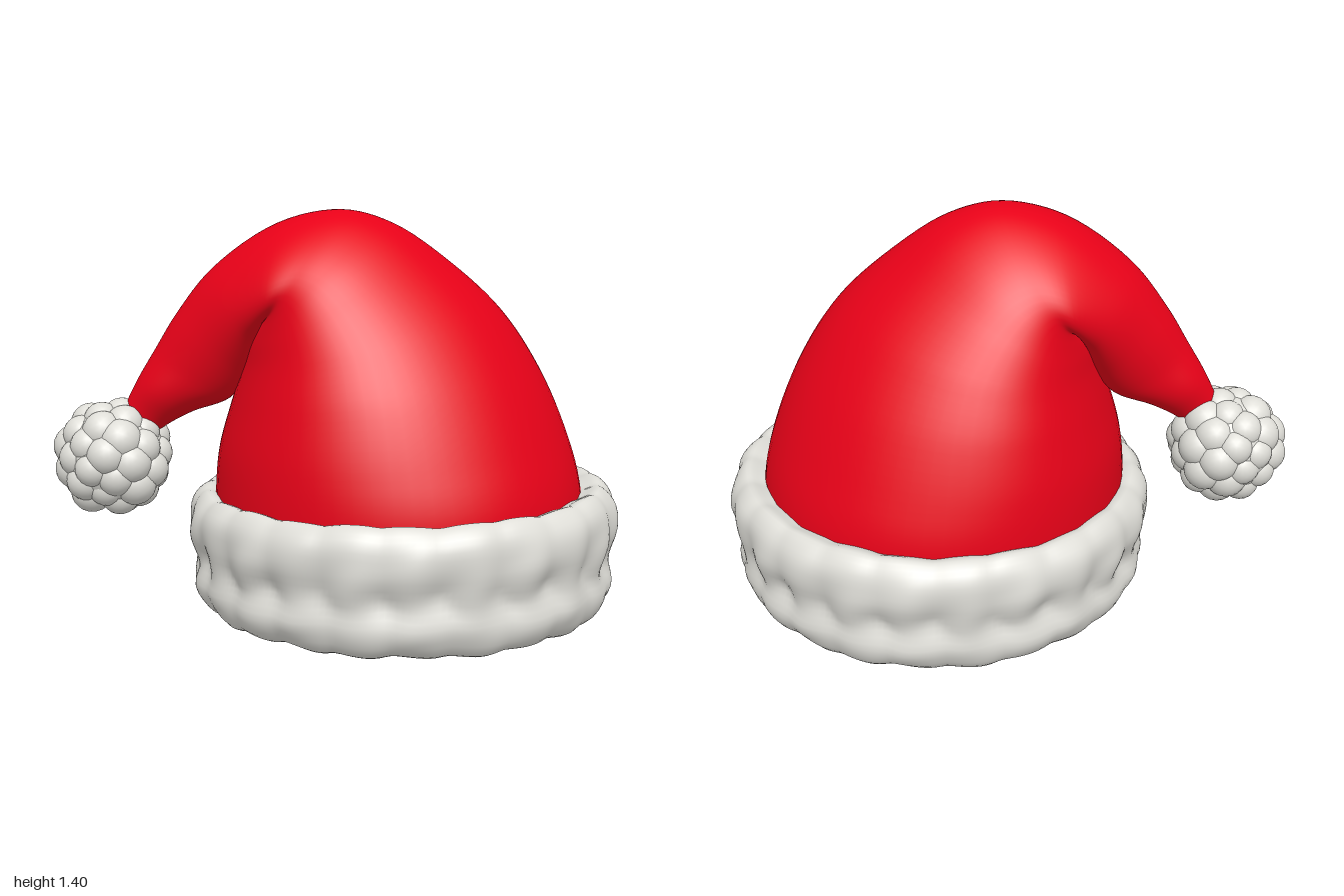
import * as THREE from 'three';
import { mergeGeometries } from 'three/addons/utils/BufferGeometryUtils.js';

const red = new THREE.MeshStandardMaterial({ color: 0xea0118 });
red.name = 'redFelt';
const white = new THREE.MeshStandardMaterial({ color: 0xdfded8 });
white.name = 'whiteFleece';

const CENTRE_X = 0.237;

// Smooth skin over rows of rings; point(i, j) returns [x, y, z], columns wrap around
function skin(rows, cols, point, wrapRows = false) {
  const pos = [], index = [];
  for (let i = 0; i < rows; i++) for (let j = 0; j < cols; j++) pos.push(...point(i, j));
  const last = wrapRows ? rows : rows - 1;
  for (let i = 0; i < last; i++) {
    for (let j = 0; j < cols; j++) {
      const n = (i + 1) % rows, k = (j + 1) % cols;
      const a = i * cols + j, b = n * cols + j, c = n * cols + k, d = i * cols + k;
      index.push(a, b, d, b, c, d);
    }
  }
  const g = new THREE.BufferGeometry();
  g.setAttribute('position', new THREE.Float32BufferAttribute(pos, 3));
  g.setIndex(index);
  g.computeVertexNormals();
  return g;
}

// Felt cone that folds over to the right side and hangs down
function bodyGeometry() {
  // each section: inner x, y, outer x, y, half width in z
  const sections = [
    [-0.43, 0.17, 0.885, 0.17, 0.66], [-0.43, 0.44, 0.872, 0.44, 0.655],
    [-0.415, 0.58, 0.825, 0.62, 0.62], [-0.37, 0.74, 0.725, 0.85, 0.555],
    [-0.33, 0.87, 0.585, 1.06, 0.475], [-0.31, 0.95, 0.40, 1.23, 0.405],
    [-0.29, 0.99, 0.20, 1.363, 0.35], [-0.275, 1.0, 0.02, 1.41, 0.315],
    [-0.27, 0.98, -0.20, 1.365, 0.295], [-0.28, 0.93, -0.43, 1.21, 0.245],
    [-0.31, 0.84, -0.56, 1.05, 0.19], [-0.375, 0.75, -0.64, 0.92, 0.145],
    [-0.51, 0.70, -0.70, 0.82, 0.11], [-0.62, 0.64, -0.745, 0.73, 0.065],
    [-0.70, 0.57, -0.78, 0.64, 0.05],
  ];
  const inner = new THREE.CatmullRomCurve3(sections.map(s => new THREE.Vector3(s[0], s[1], 0)));
  const outer = new THREE.CatmullRomCurve3(sections.map(s => new THREE.Vector3(s[2], s[3], s[4])));
  const rows = 85, cols = 64;
  return skin(rows, cols, (i, j) => {
    const u = i / (rows - 1), p = inner.getPoint(u), q = outer.getPoint(u);
    const a = (j / cols) * Math.PI * 2, t = (1 + Math.cos(a)) / 2;
    // pinched towards the ridge of the crown, fuller towards the fold
    const pinch = 1 - 0.34 * Math.sin(Math.PI * u) ** 2 * Math.cos(a);
    return [p.x + (q.x - p.x) * t, p.y + (q.y - p.y) * t, q.z * Math.sin(a) * pinch];
  });
}

// Fleece band: a two-lobed profile swept round, puffed into staggered lumps
function brimGeometry() {
  const profile = new THREE.CatmullRomCurve3([
    [0.56, 0.07], [0.63, 0.02], [0.70, 0.03], [0.745, 0.11], [0.73, 0.20], [0.756, 0.30],
    [0.748, 0.39], [0.70, 0.44], [0.65, 0.425], [0.60, 0.40], [0.545, 0.33], [0.53, 0.20],
  ].map(([r, y]) => new THREE.Vector3(r, y, 0)), true);
  const rows = 48, cols = 240;
  return skin(rows, cols, (i, j) => {
    const p = profile.getPoint(1 - i / rows), a = (j / cols) * Math.PI * 2;
    const dr = p.x - 0.64, dy = p.y - 0.23, len = Math.hypot(dr, dy);
    const stagger = 0.6 * THREE.MathUtils.smoothstep(p.y, 0.17, 0.23);
    const lump = Math.sqrt(0.1 + 0.9 * Math.cos(12 * a + stagger) ** 2);
    const uneven = Math.sin(7 * a + 9 * p.y) * Math.sin(17 * a - 23 * p.y + 1);
    // the inside is flatter than the outside
    const strength = THREE.MathUtils.mapLinear(THREE.MathUtils.smoothstep(p.x, 0.54, 0.68), 0, 1, 0.3, 1);
    const push = strength * (0.024 * (lump - 0.65) + 0.008 * uneven);
    const r = p.x + push * dr / len;
    return [
      CENTRE_X + r * Math.cos(a),
      p.y + push * 0.8 * dy / len + 0.012 * Math.cos(a) * (p.y / 0.4),
      -r * Math.sin(a),
    ];
  }, true);
}

// Pompom: a core covered in evenly spread tufts
function pompomGeometry() {
  const parts = [new THREE.IcosahedronGeometry(0.186, 5)];
  const count = 48;
  for (let i = 0; i < count; i++) {
    const y = 1 - (2 * (i + 0.5)) / count, r = Math.sqrt(1 - y * y), a = i * 2.39996;
    const tuft = new THREE.IcosahedronGeometry(0.07 + 0.006 * Math.sin(i * 5.3), 3);
    const d = 0.142 + 0.004 * Math.sin(i * 3.1);
    tuft.translate(r * Math.cos(a) * d, y * d, r * Math.sin(a) * d);
    parts.push(tuft);
  }
  return mergeGeometries(parts);
}

export function createModel() {
  const hat = new THREE.Group();
  hat.name = 'winterHat';
  const add = (name, geometry, material) => {
    const mesh = new THREE.Mesh(geometry, material);
    mesh.name = name;
    hat.add(mesh);
    return mesh;
  };

  add('feltCone', bodyGeometry(), red);
  add('fleeceBrim', brimGeometry(), white);
  add('pompom', pompomGeometry(), white).position.set(-0.79, 0.54, 0);

  // Underside closing the cone inside the brim
  const lining = add('lining', new THREE.CircleGeometry(0.62, 64), red);
  lining.rotation.x = Math.PI / 2;
  lining.position.set(CENTRE_X, 0.17, 0);
  return hat;
}
